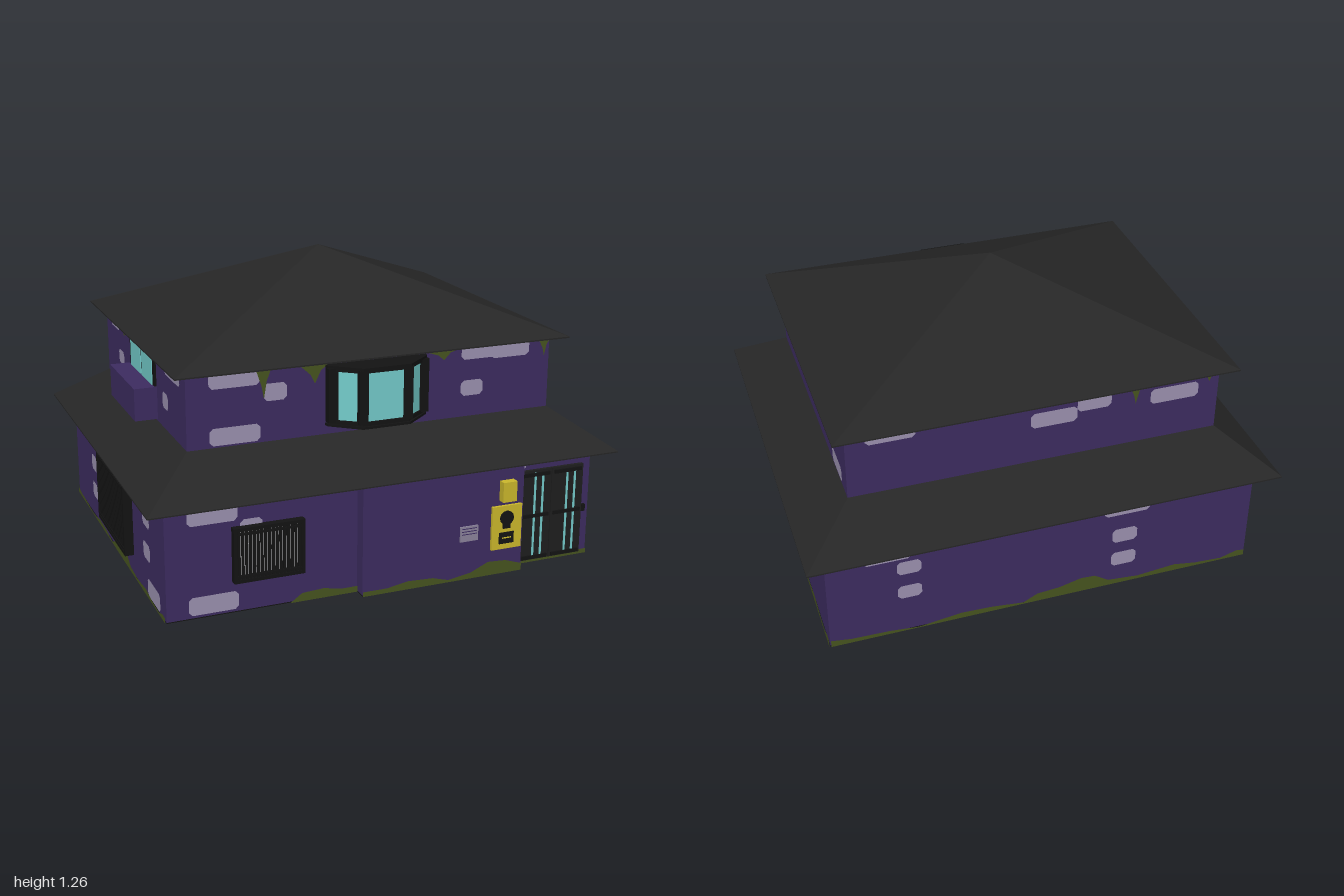
import * as THREE from 'three';

const mat = (name, color) => {
  const m = new THREE.MeshStandardMaterial({ color });
  m.name = name;
  return m;
};

export function createModel() {
  const M = {
    wall: mat('purple wall', 0x3d2c61), roof: mat('charcoal roof', 0x262626),
    black: mat('black iron', 0x131313), stone: mat('lilac stone', 0x9c92b0),
    moss: mat('moss green', 0x47541f), glass: mat('teal glass', 0x74cccb),
    yellow: mat('yellow metal', 0xcbb82c), door: mat('dark door', 0x1e1e1e),
    vent: mat('grey vent', 0x8b839c), pale: mat('pale blind', 0xd6d6da),
  };
  const house = new THREE.Group();
  house.name = 'house';

  const add = (parent, name, geo, material, x = 0, y = 0, z = 0) => {
    const m = new THREE.Mesh(geo, material);
    m.name = name;
    m.position.set(x, y, z);
    parent.add(m);
    return m;
  };
  // box given by its limits on each axis
  const box = (parent, name, material, x0, x1, y0, y1, z0, z1) =>
    add(parent, name, new THREE.BoxGeometry(x1 - x0, y1 - y0, z1 - z0), material,
      (x0 + x1) / 2, (y0 + y1) / 2, (z0 + z1) / 2);
  // box whose top is narrowed into a hipped roof
  const hip = (name, w, d, topW, topD, y0, y1, z) => {
    const g = new THREE.BoxGeometry(w, y1 - y0, d).toNonIndexed();
    const p = g.attributes.position;
    for (let i = 0; i < p.count; i++)
      if (p.getY(i) > 0) p.setXYZ(i, p.getX(i) * topW / w, p.getY(i), p.getZ(i) * topD / d);
    g.computeVertexNormals();
    add(house, name, g, M.roof, 0, (y0 + y1) / 2, z);
  };
  // group whose local x runs along a wall, y up and z outwards
  const face = (name, angle, dist) => {
    const g = new THREE.Group();
    g.name = name;
    g.rotation.y = angle;
    g.position.set(Math.sin(angle) * dist, 0, Math.cos(angle) * dist);
    house.add(g);
    return g;
  };

  // Main masses
  box(house, 'lowerStorey', M.wall, -0.918, 0.918, 0.004, 0.5, -0.75, 0.755);
  box(house, 'frontProjection', M.wall, -0.135, 0.575, 0.004, 0.468, 0.74, 0.81);
  box(house, 'upperStorey', M.wall, -0.78, 0.78, 0.6, 0.94, -0.615, 0.615);
  box(house, 'floor', M.black, -0.918, 0.918, 0, 0.004, -0.75, 0.755);
  box(house, 'projectionFloor', M.black, -0.135, 0.575, 0, 0.004, 0.755, 0.81);
  box(house, 'lowerEave', M.roof, -1, 1, 0.463, 0.469, -0.838, 0.835);
  hip('lowerRoof', 2, 1.673, 1.56, 1.23, 0.469, 0.627, 0);
  box(house, 'upperEave', M.roof, -0.838, 0.838, 0.929, 0.935, -0.683, 0.677);
  hip('upperRoof', 1.676, 1.36, 0, 0, 0.935, 1.257, -0.003);

  // Walls with stones and moss
  const H = Math.PI / 2;
  const F = {
    frontLow: face('frontLowerWall', 0, 0.755), frontMid: face('projectionWall', 0, 0.81),
    frontUp: face('frontUpperWall', 0, 0.615),
    rightLow: face('leftLowerWall', H, 0.918), rightUp: face('leftUpperWall', H, 0.78),
    backLow: face('backLowerWall', 2 * H, 0.75), backUp: face('backUpperWall', 2 * H, 0.615),
    leftLow: face('rightLowerWall', -H, 0.918), leftUp: face('rightUpperWall', -H, 0.78),
  };
  const stones = (wall, list) => list.forEach(([x0, x1, y0, y1]) => {
    const c = 0.014;
    const s = new THREE.Shape([[x0 + c, y0], [x1 - c, y0], [x1, y0 + c], [x1, y1 - c],
      [x1 - c, y1], [x0 + c, y1], [x0, y1 - c], [x0, y0 + c]].map(([x, y]) => new THREE.Vector2(x, y)));
    add(wall, 'stone', new THREE.ShapeGeometry(s), M.stone, 0, 0, 0.003);
  });
  // moss outline: points along a base line, heights may be negative to hang
  const moss = (wall, base, pts) => {
    const s = new THREE.Shape();
    s.moveTo(pts[0][0], base);
    pts.forEach(([x, h]) => s.lineTo(x, base + h));
    s.lineTo(pts[pts.length - 1][0], base);
    add(wall, 'moss', new THREE.ShapeGeometry(s), M.moss, 0, 0, 0.005);
  };

  stones(F.frontLow, [[-0.83, -0.63, 0.38, 0.45], [-0.62, -0.53, 0.31, 0.38],
    [-0.83, -0.63, 0.015, 0.09], [0.58, 0.612, 0.41, 0.46]]);
  stones(F.frontUp, [[-0.69, -0.485, 0.86, 0.93], [-0.47, -0.375, 0.79, 0.86],
    [-0.69, -0.485, 0.635, 0.705], [0.375, 0.53, 0.867, 0.93], [0.51, 0.685, 0.86, 0.93],
    [0.375, 0.475, 0.715, 0.78]]);
  const sideLow = [[-0.685, -0.52, 0.382, 0.46], [-0.515, -0.435, 0.305, 0.377],
    [-0.515, -0.435, 0.16, 0.23], [-0.685, -0.52, 0.01, 0.085], [0.245, 0.5, 0.38, 0.46],
    [0.245, 0.33, 0.235, 0.3], [0.245, 0.33, 0.09, 0.155]];
  stones(F.rightLow, sideLow);
  stones(F.rightUp, [[-0.547, -0.3, 0.865, 0.93], [-0.38, -0.3, 0.715, 0.78],
    [-0.04, 0.035, 0.715, 0.782], [0.035, 0.125, 0.79, 0.858], [0.295, 0.365, 0.79, 0.858],
    [0.375, 0.54, 0.865, 0.93], [0.375, 0.54, 0.645, 0.715]]);
  stones(F.backLow, [[-0.765, -0.57, 0.38, 0.46], [-0.63, -0.53, 0.3, 0.365],
    [-0.63, -0.53, 0.175, 0.24], [0.25, 0.45, 0.37, 0.45], [0.29, 0.4, 0.225, 0.295],
    [0.29, 0.4, 0.1, 0.17]]);
  stones(F.backUp, [[-0.7, -0.5, 0.86, 0.93], [-0.03, 0.165, 0.79, 0.86],
    [0.165, 0.31, 0.83, 0.9], [0.48, 0.69, 0.8, 0.87]]);
  stones(F.leftLow, [[-0.6, -0.43, 0.38, 0.45], [-0.43, -0.34, 0.23, 0.3],
    [-0.43, -0.34, 0.1, 0.17], [0.45, 0.55, 0.3, 0.37], [0.45, 0.55, 0.16, 0.23], [0.5, 0.68, 0.01, 0.085]]);
  stones(F.leftUp, [[-0.52, -0.38, 0.86, 0.93], [-0.4, -0.31, 0.72, 0.78],
    [0.34, 0.55, 0.86, 0.93], [0.3, 0.38, 0.715, 0.78]]);

  const sideMoss = [[-0.75, 0.04], [-0.68, 0.025], [-0.55, 0.02], [-0.45, 0.005], [-0.3, 0.035],
    [-0.2, 0.03], [-0.08, 0.01], [-0.03, 0.05], [0.05, 0.06], [0.13, 0.09], [0.18, 0.085],
    [0.23, 0.035], [0.34, 0.02], [0.48, 0.04], [0.56, 0.02], [0.66, 0.012], [0.72, 0.04], [0.75, 0.035]];
  moss(F.rightLow, 0, sideMoss);
  moss(F.leftLow, 0, sideMoss.map(([x, h]) => [x, h * 0.6]));
  moss(F.backLow, 0, sideMoss.map(([x, h]) => [x * 1.22, h * 0.8]));
  moss(F.frontLow, 0, [[-0.42, 0], [-0.37, 0.035], [-0.28, 0.04], [-0.2, 0.025], [-0.135, 0.025]]);
  moss(F.frontLow, 0, [[0.575, 0.02], [0.7, 0.015], [0.918, 0.02]]);
  moss(F.frontMid, 0, [[-0.135, 0.02], [-0.03, 0.02], [0.06, 0.035], [0.17, 0.03], [0.24, 0.01],
    [0.34, 0.025], [0.42, 0.06], [0.5, 0.055], [0.575, 0.03]]);
  const drip = (wall, x0, x1, depth) => moss(wall, 0.93,
    [[x0, -0.015], [x0 * 0.65 + x1 * 0.35, -depth * 0.6], [(x0 + x1) / 2, -depth],
      [x0 * 0.3 + x1 * 0.7, -depth * 0.45], [x1, -0.012]]);
  [[-0.5, -0.44, 0.13], [-0.32, -0.2, 0.09], [0.22, 0.37, 0.055], [0.73, 0.78, 0.08]]
    .forEach(d => drip(F.frontUp, ...d));
  [[-0.27, -0.17, 0.045], [0.17, 0.22, 0.035], [0.345, 0.378, 0.13], [-0.61, -0.56, 0.04]]
    .forEach(d => drip(F.rightUp, ...d));
  [[-0.3, -0.2, 0.05], [0.38, 0.45, 0.11], [0.7, 0.77, 0.07]].forEach(d => drip(F.backUp, ...d));
  drip(F.leftUp, -0.33, -0.25, 0.08);

  // Front bay window: slabs, canted panes and posts
  const bay = new THREE.Group();
  bay.name = 'bayWindow';
  F.frontUp.add(bay);
  const prism = (name, pts, y0, y1, material) => {
    const s = new THREE.Shape(pts.map(([x, z]) => new THREE.Vector2(x, -z)));
    const g = new THREE.ExtrudeGeometry(s, { depth: y1 - y0, bevelEnabled: false }).rotateX(-H);
    add(bay, name, g, material, 0, y0, 0);
  };
  const outline = k => [[-0.205 - k, 0], [-0.2 - k, 0.02], [-0.095 - k / 2, 0.1 + k],
    [0.095 + k / 2, 0.1 + k], [0.2 + k, 0.02], [0.205 + k, 0]];
  prism('baySill', outline(0.012), 0.664, 0.674, M.black);
  prism('bayLowerRail', outline(0.004), 0.674, 0.69, M.black);
  prism('bayGlass', outline(-0.004), 0.69, 0.887, M.glass);
  prism('bayUpperRail', outline(0.004), 0.887, 0.9, M.black);
  prism('bayHead', outline(0.012), 0.9, 0.91, M.black);
  for (const s of [-1, 1]) {
    box(bay, 'bayCornerPost', M.black, s * 0.095 - 0.019, s * 0.095 + 0.019, 0.68, 0.9, 0.08, 0.105);
    box(bay, 'bayWallPost', M.black, s * 0.195 - 0.02, s * 0.195 + 0.02, 0.68, 0.9, 0, 0.036);
  }

  // Barred windows
  const grille = (wall, name, x0, x1, y0, y1, back, depth, n, barW) => {
    const g = new THREE.Group();
    g.name = name;
    wall.add(g);
    box(g, 'pane', back, x0 + 0.02, x1 - 0.02, y0 + 0.02, y1 - 0.02, 0, depth * 0.4);
    for (const y of [y0, y1 - 0.014]) box(g, 'rail', M.black, x0, x1, y, y + 0.014, 0, depth);
    for (const y of [y0 + 0.022, y1 - 0.03]) box(g, 'innerRail', M.black, x0, x1, y, y + 0.008, depth - 0.012, depth);
    for (const x of [x0, x1 - 0.014]) box(g, 'sidePost', M.black, x, x + 0.014, y0, y1, 0, depth);
    for (let i = 0; i < n; i++) {
      const x = x0 + 0.014 + (x1 - x0 - 0.028) * (i + 0.5) / n;
      box(g, 'bar', M.black, x - barW / 2, x + barW / 2, y0, y1, depth - 0.012, depth - 0.002);
    }
  };
  grille(F.frontLow, 'frontBarredWindow', -0.655, -0.365, 0.13, 0.355, M.pale, 0.03, 17, 0.01);
  grille(F.leftLow, 'sideBarredWindow', -0.18, 0.28, 0.09, 0.405, M.glass, 0.038, 20, 0.014);

  // Side upper window with a planter below
  box(F.leftUp, 'sideWindowFrame', M.black, -0.18, 0.205, 0.66, 0.91, 0, 0.008);
  for (const [a, b] of [[-0.155, 0.0], [0.02, 0.175]])
    box(F.leftUp, 'sideWindowGlass', M.glass, a, b, 0.68, 0.89, 0.004, 0.012);
  box(F.leftUp, 'planter', M.wall, -0.185, 0.21, 0.635, 0.77, 0, 0.095);

  // Double door with glass slits
  for (const x of [0.58, 0.731]) {
    box(F.frontLow, 'doorLeaf', M.door, x, x + 0.148, 0.015, 0.41, 0, 0.015);
    for (const dx of [0.068, 0.104])
      box(F.frontLow, 'doorSlit', M.glass, x + dx, x + dx + 0.009, 0.025, 0.4, 0.012, 0.018);
    for (const y of [0.02, 0.205, 0.385])
      box(F.frontLow, 'doorRail', M.black, x + 0.01, x + 0.138, y, y + 0.015, 0.012, 0.022);
  }
  box(F.frontLow, 'doorHandle', M.black, 0.882, 0.9, 0.195, 0.225, 0, 0.012);

  // Yellow machine, lamp box and vent
  box(F.frontMid, 'machinePanel', M.yellow, 0.43, 0.565, 0.11, 0.297, 0, 0.012);
  add(F.frontMid, 'machineDial', new THREE.CylinderGeometry(0.031, 0.031, 0.008, 12).rotateX(H), M.black, 0.495, 0.245, 0.014);
  box(F.frontMid, 'machineNeck', M.black, 0.478, 0.512, 0.2, 0.22, 0.01, 0.017);
  box(F.frontMid, 'machineSlot', M.black, 0.462, 0.528, 0.135, 0.183, 0.01, 0.017);
  box(F.frontMid, 'machineSlotLine', M.yellow, 0.475, 0.515, 0.158, 0.163, 0.014, 0.019);
  box(F.frontMid, 'yellowBox', M.yellow, 0.465, 0.527, 0.32, 0.405, 0, 0.032);
  box(F.frontMid, 'vent', M.vent, 0.29, 0.37, 0.165, 0.23, 0, 0.006);
  for (const y of [0.195, 0.207, 0.219])
    box(F.frontMid, 'ventSlat', M.wall, 0.297, 0.363, y, y + 0.003, 0.004, 0.008);

  return house;
}
